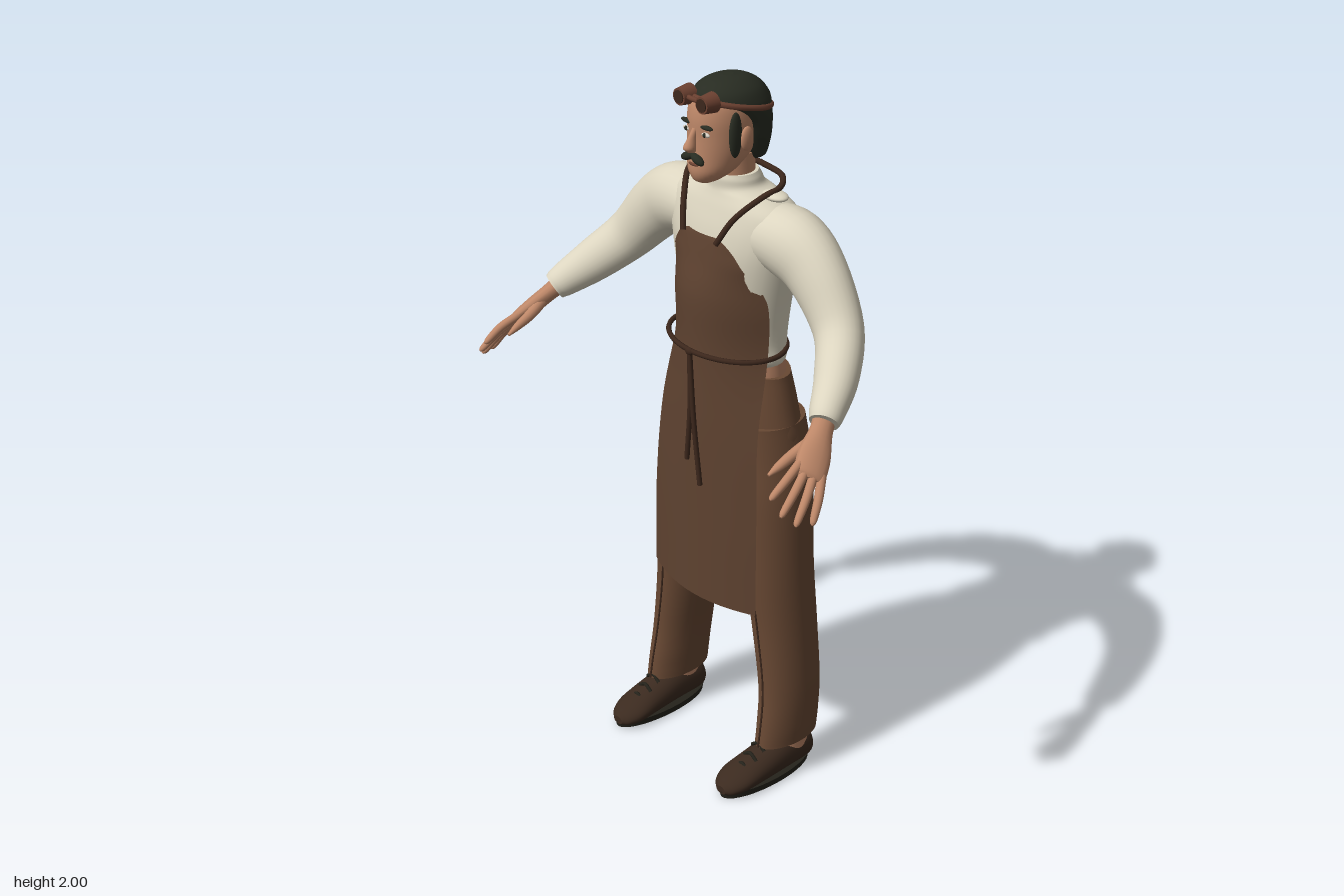
import * as THREE from 'three';

const V = (x, y, z) => new THREE.Vector3(x, y, z);
const mat = (name, color, side = THREE.FrontSide) => {
  const m = new THREE.MeshStandardMaterial({ color, side });
  m.name = name;
  return m;
};

// Smooth closed loft through rows of [x, y, z, radiusA, radiusB].
// "axis" keeps every ring parallel; otherwise rings follow the path.
function loft(rows, { axis = null, ref = V(0, 0, 1), sides = 28, per = 5 } = {}) {
  const path = new THREE.CatmullRomCurve3(rows.map(r => V(r[0], r[1], r[2])), false, 'catmullrom');
  const size = new THREE.CatmullRomCurve3(rows.map(r => V(r[3], r[4], 0)), false, 'catmullrom');
  const n = (rows.length - 1) * per, pos = [], idx = [], ends = [];
  for (let i = 0; i <= n; i++) {
    const c = path.getPoint(i / n), r = size.getPoint(i / n);
    const t = axis || path.getTangent(i / n);
    const a = ref.clone().cross(t).normalize(), b = t.clone().cross(a);
    const ring = [];
    for (let j = 0; j < sides; j++) {
      const q = j / sides * Math.PI * 2;
      ring.push(c.clone().addScaledVector(a, r.x * Math.cos(q)).addScaledVector(b, r.y * Math.sin(q)));
    }
    ring.forEach(p => pos.push(p.x, p.y, p.z));
    if (i === 0 || i === n) ends.push({ c, ring });
    if (i < n) for (let j = 0; j < sides; j++) {
      const k = (j + 1) % sides, o = i * sides;
      idx.push(o + j, o + k, o + sides + j, o + k, o + sides + k, o + sides + j);
    }
  }
  ends.forEach(({ c, ring }, e) => {
    const o = pos.length / 3;
    [c, ...ring].forEach(p => pos.push(p.x, p.y, p.z));
    for (let j = 0; j < sides; j++) {
      const p = o + 1 + j, q = o + 1 + (j + 1) % sides;
      if (e) idx.push(o, p, q); else idx.push(o, q, p);
    }
  });
  const g = new THREE.BufferGeometry();
  g.setAttribute('position', new THREE.Float32BufferAttribute(pos, 3));
  g.setIndex(idx);
  g.computeVertexNormals();
  return g;
}

// Upright loft from rows of [y, centreZ, radiusX, radiusZ], bottom to top
const UP = V(0, 1, 0);
const column = (rows, x = 0) => loft(rows.map(([y, z, a, b]) => [x, y, z, a, b]), { axis: UP, sides: 36 });
const cord = (pts, r, closed = false) =>
  new THREE.TubeGeometry(new THREE.CatmullRomCurve3(pts.map(p => V(...p)), closed), 64, r, 8, closed);
const blob = (x, y, z, a, b, c) => new THREE.SphereGeometry(1, 20, 14).scale(a, b, c).translate(x, y, z);
const ellipse = (y0, y1, z0, z1, rx) => Array.from({ length: 20 }, (_, i) => {
  const t = i / 20 * Math.PI * 2, k = (1 + Math.cos(t)) / 2;
  return [rx * Math.sin(t), y1 + (y0 - y1) * k, z1 + (z0 - z1) * k];
});

// Apron sheet: rows of [y, halfWidth, z at middle, z at edge]
function apronSheet(rows) {
  const g = new THREE.PlaneGeometry(1, 1, 20, 48), p = g.attributes.position;
  const main = new THREE.CatmullRomCurve3(rows.map(r => V(r[0], r[1], r[2])), false, 'catmullrom');
  const edge = new THREE.CatmullRomCurve3(rows.map(r => V(r[3], 0, 0)), false, 'catmullrom');
  for (let i = 0; i < p.count; i++) {
    const u = p.getX(i) * 2, v = p.getY(i) + 0.5, m = main.getPoint(v);
    p.setXYZ(i, u * m.y, m.x, m.z + (edge.getPoint(v).x - m.z) * u * u);
  }
  g.computeVertexNormals();
  return g;
}

export function createModel() {
  const skin = mat('skin', 0xbd8768), shirt = mat('cream shirt', 0xdcd5c0);
  const cloth = mat('trouser brown', 0x684833), leather = mat('apron brown', 0x5e4230, THREE.DoubleSide);
  const strap = mat('strap brown', 0x3c271c), shoeMat = mat('shoe brown', 0x3b2a1f);
  const soleMat = mat('sole dark', 0x25231b), hair = mat('hair', 0x282c22);
  const rust = mat('goggle brown', 0x6b4030), white = mat('eye white', 0xd8d0c4);
  const model = new THREE.Group();
  const add = (name, geo, m) => {
    const mesh = new THREE.Mesh(geo, m);
    mesh.name = name;
    model.add(mesh);
    return mesh;
  };

  // Torso and hips
  add('sweater', column([
    [1.225, -0.145, 0.15, 0.083], [1.25, -0.143, 0.164, 0.095], [1.3, -0.14, 0.163, 0.1],
    [1.4, -0.135, 0.175, 0.117], [1.52, -0.135, 0.2, 0.124], [1.6, -0.14, 0.222, 0.118],
    [1.66, -0.14, 0.21, 0.1], [1.695, -0.135, 0.145, 0.082], [1.712, -0.13, 0.09, 0.073],
    [1.735, -0.125, 0.077, 0.068], [1.748, -0.123, 0.07, 0.062]]), shirt);
  add('waist', column([[1.15, -0.15, 0.155, 0.085], [1.2, -0.15, 0.158, 0.086], [1.26, -0.145, 0.155, 0.086]]), skin);
  add('trouserSeat', column([
    [0.91, -0.15, 0.17, 0.07], [0.95, -0.15, 0.205, 0.1], [1.02, -0.152, 0.215, 0.117],
    [1.1, -0.152, 0.197, 0.114], [1.2, -0.153, 0.171, 0.095]]), cloth);

  for (const s of [1, -1]) {
    const side = s > 0 ? 'left' : 'right';
    const flip = rows => rows.map(([x, ...r]) => [x * s, ...r]);

    // Leg with front seam, ankle and shoe
    const leg = [
      [0.23, 0.11, -0.13, 0.056, 0.106], [0.229, 0.17, -0.137, 0.06, 0.104], [0.222, 0.28, -0.147, 0.066, 0.1],
      [0.2, 0.45, -0.147, 0.076, 0.1], [0.177, 0.65, -0.14, 0.085, 0.105], [0.145, 0.85, -0.145, 0.102, 0.115],
      [0.122, 0.97, -0.152, 0.104, 0.116], [0.11, 1.07, -0.152, 0.095, 0.108]];
    add(side + 'TrouserLeg', loft(flip(leg), { axis: UP, per: 6 }), cloth);
    add(side + 'Seam', cord(flip(leg.slice(0, 6)).map(r => [r[0], r[1], r[2] + r[4]]), 0.003), strap);
    add(side + 'Ankle', column([[0.06, -0.14, 0.045, 0.065], [0.2, -0.14, 0.045, 0.065]], 0.23 * s), skin);
    add(side + 'Shoe', loft(flip([
      [0.228, 0.05, -0.215, 0.022, 0.025], [0.228, 0.058, -0.195, 0.042, 0.05], [0.228, 0.062, -0.11, 0.05, 0.058],
      [0.226, 0.05, -0.02, 0.054, 0.046], [0.223, 0.038, 0.05, 0.055, 0.034],
      [0.222, 0.029, 0.09, 0.04, 0.024], [0.222, 0.024, 0.108, 0.018, 0.012]]),
    { axis: V(0, 0, 1), ref: UP }), shoeMat);
    add(side + 'Sole', column([[0, -0.055, 0.054, 0.16], [0.02, -0.055, 0.057, 0.164]], 0.225 * s), soleMat);
    for (const z of [-0.03, 0.0, 0.03]) {
      const top = 0.073 - z * 0.65;
      add(side + 'Lace', cord([[0.2 * s, top + 0.01, z], [0.225 * s, top + 0.025, z], [0.25 * s, top + 0.01, z]], 0.005), soleMat);
    }

    // Sleeve
    add(side + 'Sleeve', loft(flip([
      [0.1, 1.6, -0.14, 0.08, 0.09], [0.21, 1.595, -0.142, 0.094, 0.088], [0.3, 1.545, -0.138, 0.087, 0.074],
      [0.4, 1.435, -0.117, 0.07, 0.062], [0.47, 1.355, -0.045, 0.06, 0.056],
      [0.515, 1.3, 0.03, 0.046, 0.045], [0.527, 1.283, 0.052, 0.038, 0.038]])), shirt);

    // Hand: fingers fan out across the palm
    const across = V(0.63, -0.5, -0.59), dir = V(0.09, -0.13, 0.2);
    const ref = across.clone().cross(dir).normalize();
    ref.x *= s;
    const hand = { ref, sides: 14, per: 4 };
    add(side + 'Palm', loft(flip([
      [0.515, 1.295, 0.035, 0.03, 0.026], [0.535, 1.265, 0.07, 0.031, 0.023], [0.557, 1.23, 0.11, 0.043, 0.022],
      [0.578, 1.2, 0.145, 0.043, 0.017], [0.584, 1.19, 0.157, 0.036, 0.009]]), hand), skin);
    [[-0.031, 0.568, 1.165, 0.268], [-0.01, 0.6, 1.128, 0.262], [0.012, 0.625, 1.103, 0.236], [0.032, 0.641, 1.098, 0.195]]
      .forEach(([o, x, y, z]) => {
        const base = V(0.574, 1.205, 0.14).addScaledVector(across, o), tip = V(x, y, z);
        const row = (t, r, lift) => {
          const p = base.clone().lerp(tip, t);
          return [p.x + lift, p.y + lift, p.z, r, r];
        };
        add(side + 'Finger', loft(flip([row(0, 0.012, 0), row(0.5, 0.0115, 0.004), row(0.9, 0.009, 0), row(1, 0.003, 0)]), hand), skin);
      });
    add(side + 'Thumb', loft(flip([
      [0.535, 1.255, 0.085, 0.017, 0.017], [0.522, 1.23, 0.14, 0.015, 0.015],
      [0.518, 1.21, 0.19, 0.012, 0.011], [0.515, 1.195, 0.225, 0.004, 0.004]]), hand), skin);

    // Neck strap and shoulder fold
    add(side + 'NeckStrap', cord(flip([
      [0.062, 1.585, -0.008], [0.095, 1.655, -0.04], [0.14, 1.715, -0.1], [0.145, 1.727, -0.15],
      [0.1, 1.733, -0.2], [0, 1.735, -0.218]]), 0.008), strap);
    add(side + 'ShoulderFold', blob(0.145 * s, 1.71, -0.135, 0.04, 0.012, 0.028), shirt);

    // Face side
    add(side + 'Ear', blob(0.087 * s, 1.857, -0.09, 0.01, 0.032, 0.02), skin);
    add(side + 'Sideburn', blob(0.077 * s, 1.87, -0.06, 0.011, 0.06, 0.02), hair);
    add(side + 'EyeWhite', blob(0.034 * s, 1.874, 0.001, 0.015, 0.006, 0.006), white);
    add(side + 'Iris', blob(0.034 * s, 1.874, 0.005, 0.006, 0.006, 0.004), hair);
    add(side + 'Eyebrow', blob(0.036 * s, 1.893, 0.002, 0.022, 0.006, 0.008).rotateY(0.05 * s), hair);
    add(side + 'Moustache', blob(0, 0, 0, 0.024, 0.011, 0.012).rotateZ(-0.4 * s).translate(0.018 * s, 1.808, 0.014), hair);

    // Goggle eyepiece
    add(side + 'Eyepiece', new THREE.CylinderGeometry(0.022, 0.027, 0.04, 20).rotateX(Math.PI / 2)
      .translate(0.042 * s, 1.958, 0.002), rust);
    add(side + 'Lens', new THREE.CylinderGeometry(0.017, 0.017, 0.006, 20).rotateX(Math.PI / 2)
      .translate(0.042 * s, 1.958, 0.022), strap);
  }

  // Head
  add('neck', column([[1.7, -0.125, 0.062, 0.058], [1.8, -0.115, 0.06, 0.06]]), skin);
  add('face', column([
    [1.735, -0.032, 0.018, 0.022], [1.745, -0.04, 0.035, 0.045], [1.77, -0.058, 0.058, 0.072],
    [1.81, -0.08, 0.073, 0.092], [1.86, -0.09, 0.08, 0.1], [1.91, -0.095, 0.082, 0.104],
    [1.95, -0.1, 0.075, 0.098], [1.98, -0.1, 0.05, 0.07]]), skin);
  add('nose', loft([
    [0, 1.825, 0.018, 0.011, 0.012], [0, 1.838, 0.024, 0.014, 0.018],
    [0, 1.86, 0.015, 0.009, 0.014], [0, 1.885, 0.004, 0.007, 0.008]], { axis: UP, sides: 16 }), skin);
  add('mouth', blob(0, 1.79, 0.009, 0.018, 0.005, 0.008), rust);
  add('hair', column([
    [1.775, -0.17, 0.05, 0.035], [1.79, -0.165, 0.066, 0.045], [1.84, -0.158, 0.083, 0.06],
    [1.89, -0.147, 0.09, 0.073], [1.925, -0.128, 0.092, 0.092], [1.945, -0.113, 0.089, 0.104],
    [1.972, -0.106, 0.074, 0.09], [1.992, -0.104, 0.045, 0.057], [2.0, -0.104, 0.012, 0.016]]), hair);

  // Goggle band and bridge
  add('goggleBand', cord(ellipse(1.958, 1.908, -0.006, -0.22, 0.094), 0.008, true), rust);
  add('goggleBridge', cord([[-0.03, 1.958, 0.005], [0, 1.962, 0.014], [0.03, 1.958, 0.005]], 0.007), rust);

  // Apron with its ties
  add('apron', apronSheet([
    [0.53, 0.205, 0.02, -0.03], [0.8, 0.202, 0.02, -0.032], [1.05, 0.188, 0.02, -0.045],
    [1.27, 0.176, 0.016, -0.088], [1.4, 0.177, 0.02, -0.09], [1.46, 0.165, 0.016, -0.078],
    [1.52, 0.132, 0.004, -0.042], [1.56, 0.105, -0.003, -0.03], [1.585, 0.079, -0.008, -0.022],
    [1.597, 0.05, -0.011, -0.018]]), leather);
  add('waistTie', cord(ellipse(1.275, 1.275, 0.024, -0.24, 0.18), 0.007, true), strap);
  add('tieEndShort', cord([[0, 1.275, 0.025], [0.004, 1.12, 0.027], [-0.01, 0.95, 0.026]], 0.007), strap);
  add('tieEndLong', cord([[0, 1.275, 0.025], [0.018, 1.08, 0.027], [0.042, 0.89, 0.026]], 0.007), strap);
  add('tieKnot', blob(0, 1.273, 0.026, 0.014, 0.011, 0.008), strap);

  return model;
}
